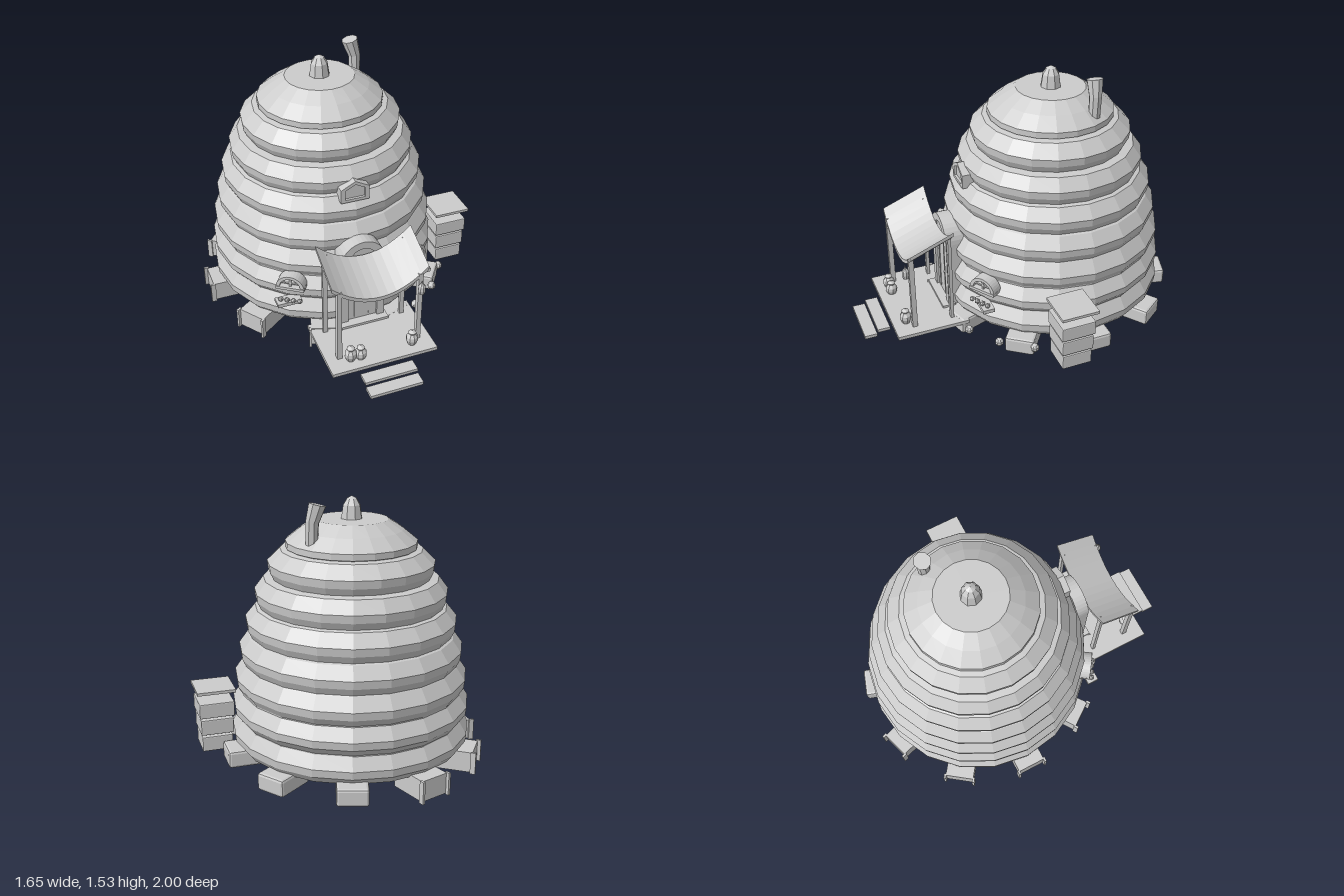
import * as THREE from 'three';
import { RoundedBoxGeometry } from 'three/addons/geometries/RoundedBoxGeometry.js';

const CX = -0.06, CZ = -0.25;
const mat = new THREE.MeshStandardMaterial({ color: 0xcccccc, flatShading: true, side: THREE.DoubleSide });

function add(parent, name, geo, x = 0, y = 0, z = 0) {
  const m = new THREE.Mesh(geo, mat);
  m.name = name;
  m.position.set(x, y, z);
  parent.add(m);
  return m;
}
// Box given by its limits on each axis
function box(parent, name, x0, x1, y0, y1, z0, z1) {
  return add(parent, name, new THREE.BoxGeometry(x1 - x0, y1 - y0, z1 - z0),
    (x0 + x1) / 2, (y0 + y1) / 2, (z0 + z1) / 2);
}
const lathe = (pts, n) => new THREE.LatheGeometry(pts.map(p => new THREE.Vector2(...p)), n);
const extrude = (shape, depth) =>
  new THREE.ExtrudeGeometry(shape, { depth, bevelEnabled: false, curveSegments: 8 });
// Group turned about the hive's axis, its +z pointing outward
function radial(parent, name, angle) {
  const g = new THREE.Group();
  g.name = name;
  g.position.set(CX, 0, CZ);
  g.rotation.y = angle;
  parent.add(g);
  return g;
}
// Upright shape with an arched top
function arch(w, side, top) {
  const s = new THREE.Shape();
  s.moveTo(-w, 0).lineTo(w, 0).lineTo(w, side);
  s.absellipse(0, side, w, top - side, 0, Math.PI, false);
  s.lineTo(-w, 0);
  return s;
}

function buildHive(root) {
  // Stacked straw rings: pinched at the joints, bulging between
  const bulge = [0.69, 0.684, 0.668, 0.64, 0.602, 0.547, 0.472];
  const pinch = [0.655, 0.648, 0.638, 0.62, 0.59, 0.545, 0.495, 0.4];
  const pts = [[0, 0.11]];
  bulge.forEach((r, i) => {
    const y = 0.11 + i * 0.1615;
    pts.push([Math.min(pinch[i], r - 0.025), y], [r - 0.005, y + 0.04], [r, y + 0.085], [pinch[i + 1], y + 0.155]);
  });
  pts.push([0.36, 1.24], [0.37, 1.245], [0.37, 1.28], [0.29, 1.345], [0.205, 1.4], [0, 1.4]);
  add(root, 'hiveBody', lathe(pts, 20), CX, 0, CZ);
  add(root, 'finial', lathe([[0.063, 1.39], [0.05, 1.475], [0.028, 1.51], [0, 1.525]], 8), CX, 0, CZ);

  // Bent chimney, widening to the top
  const sections = [[0.215, 1.27, -0.395, 0.034], [0.213, 1.42, -0.4, 0.037], [0.185, 1.515, -0.405, 0.048]];
  const geo = new THREE.CylinderGeometry(1, 1, 2, 8, 2);
  const p = geo.attributes.position;
  for (let i = 0; i < p.count; i++) {
    const [x, y, z, r] = sections[Math.round(p.getY(i) + 1)];
    p.setXYZ(i, x + p.getX(i) * r, y + p.getX(i) * r * 0.25, z + p.getZ(i) * r);
  }
  add(root, 'chimney', geo);
}

function buildWindows(root) {
  // Gabled attic window
  const house = k => [[-0.085, 0], [0.085, 0], [0.085, 0.085], [0, 0.13], [-0.085, 0.085]]
    .map(([x, y]) => new THREE.Vector2(x * k, 0.06 + (y - 0.06) * k));
  const frame = new THREE.Shape(house(1));
  frame.holes.push(new THREE.Path(house(0.7)));
  add(root, 'atticFrame', extrude(frame, 0.13), CX, 0.885, 0.2);
  add(root, 'atticPane', extrude(new THREE.Shape(house(0.72)), 0.08), CX, 0.885, 0.235);

  for (const s of [-1, 1]) {
    // Half-round windows with cross bars
    const g = radial(root, 'sideWindow', s * 0.6);
    const rim = new THREE.Shape().absarc(0, 0, 0.085, 0, Math.PI, false);
    rim.holes.push(new THREE.Path().absarc(0, 0.004, 0.062, 0, Math.PI, false));
    add(g, 'windowFrame', extrude(rim, 0.07), 0, 0.38, 0.645);
    add(g, 'windowPane', extrude(new THREE.Shape().absarc(0, 0, 0.068, 0, Math.PI, false), 0.04), 0, 0.38, 0.645);
    box(g, 'windowSill', -0.085, 0.085, 0.372, 0.39, 0.645, 0.72);
    box(g, 'windowBar', -0.006, 0.006, 0.38, 0.45, 0.66, 0.705);
    box(g, 'windowBar', -0.065, 0.065, 0.41, 0.42, 0.66, 0.705);
    // Flower shelf below
    const x = CX + s * 0.41;
    box(root, 'flowerShelf', x - 0.073, x + 0.073, 0.275, 0.298, 0.29, 0.36);
    for (let i = 0; i < 4; i++) {
      add(root, 'flower', new THREE.IcosahedronGeometry(0.017, 0),
        CX + s * (0.36 + i * 0.032), 0.31, 0.385 - i * 0.02);
    }
  }
}

function buildDoor(root) {
  const frame = arch(0.135, 0.44, 0.58);
  frame.holes.push(new THREE.Path(arch(0.09, 0.43, 0.535).getPoints(8)));
  add(root, 'doorFrame', extrude(frame, 0.17), CX, 0.11, 0.29);
  add(root, 'door', extrude(arch(0.095, 0.43, 0.54), 0.15), CX, 0.11, 0.295);
  for (const x of [-0.045, 0.045]) box(root, 'doorGroove', CX + x - 0.003, CX + x + 0.003, 0.15, 0.56, 0.44, 0.45);
  add(root, 'doorKnob', new THREE.IcosahedronGeometry(0.01, 0), 0.01, 0.33, 0.455);
  box(root, 'threshold', CX - 0.15, CX + 0.15, 0.12, 0.135, 0.42, 0.5);
}

function buildPorch(root) {
  box(root, 'porchFloor', -0.38, 0.255, 0.098, 0.12, 0.39, 0.825);
  box(root, 'upperStep', -0.22, 0.095, 0.063, 0.082, 0.835, 0.91);
  box(root, 'lowerStep', -0.22, 0.095, 0.036, 0.056, 0.915, 0.99);
  for (const x of [-0.3, 0.18]) {
    box(root, 'frontPost', x - 0.014, x + 0.014, 0.11, 0.59, 0.69, 0.72);
    box(root, 'rearPost', x - 0.014, x + 0.014, 0.11, 0.68, 0.465, 0.485);
  }
  // Sagging canopy that slopes down to the front
  const geo = new THREE.BoxGeometry(0.57, 0.024, 0.26, 12, 1, 1);
  const p = geo.attributes.position;
  for (let i = 0; i < p.count; i++) {
    const u = p.getX(i) / 0.285;
    p.setY(i, p.getY(i) + 0.135 * u * u - 0.4 * p.getZ(i));
  }
  add(root, 'canopy', geo, CX, 0.538, 0.588);

  // Pots and hanging lantern
  const pot = lathe([[0, 0], [0.022, 0], [0.036, 0.035], [0.034, 0.055], [0.02, 0.075], [0.024, 0.085], [0, 0.098]], 8);
  add(root, 'pot', pot, -0.245, 0.12, 0.745);
  add(root, 'pot', pot, -0.185, 0.108, 0.745);
  add(root, 'pot', pot, 0.13, 0.12, 0.745);
  add(root, 'lantern', lathe([[0, 0.465], [0.016, 0.47], [0.022, 0.495], [0.02, 0.52], [0.006, 0.54], [0, 0.56]], 8), 0.178, 0, 0.738);
}

function buildSupports(root) {
  // Ten radial footings: five solid blocks, five bins with corner strips
  for (let k = 0; k < 10; k++) {
    const bin = k >= 3 && k <= 7;
    const g = radial(root, bin ? 'footingBin' : 'footingBlock', Math.PI / 2 + k * Math.PI / 5);
    if (bin) {
      box(g, 'bin', -0.087, 0.087, 0.005, 0.125, 0.52, 0.745);
      for (const x of [-0.09, 0.09]) box(g, 'cornerStrip', x - 0.007, x + 0.007, 0, 0.13, 0.735, 0.765);
    } else {
      add(g, 'block', new RoundedBoxGeometry(0.175, 0.1, 0.235, 1, 0.015), 0, 0.075, 0.63);
    }
  }
  // Round lamps along the base
  for (const [x, z] of [[-0.3, 0.46], [0.13, 0.51], [0.305, 0.41], [0.475, 0.285], [0.6, 0.115]]) {
    add(root, 'baseLamp', new THREE.SphereGeometry(0.026, 8, 5), x, 0.092, z);
  }
}

function buildCrates(root) {
  // Stacked crates with a raised lid
  [[0.178, 0.062, 0.088], [0.19, 0.164, 0.092], [0.203, 0.27, 0.088]].forEach(([w, y, h]) => {
    add(root, 'crate', new RoundedBoxGeometry(w, h, w, 1, 0.006), 0.712, y + h / 2, -0.06);
  });
  box(root, 'crateLid', 0.602, 0.825, 0.418, 0.435, -0.173, 0.05);
}

export function createModel() {
  const root = new THREE.Group();
  root.name = 'hiveCottage';
  [buildHive, buildWindows, buildDoor, buildPorch, buildSupports, buildCrates].forEach(build => build(root));
  return root;
}
